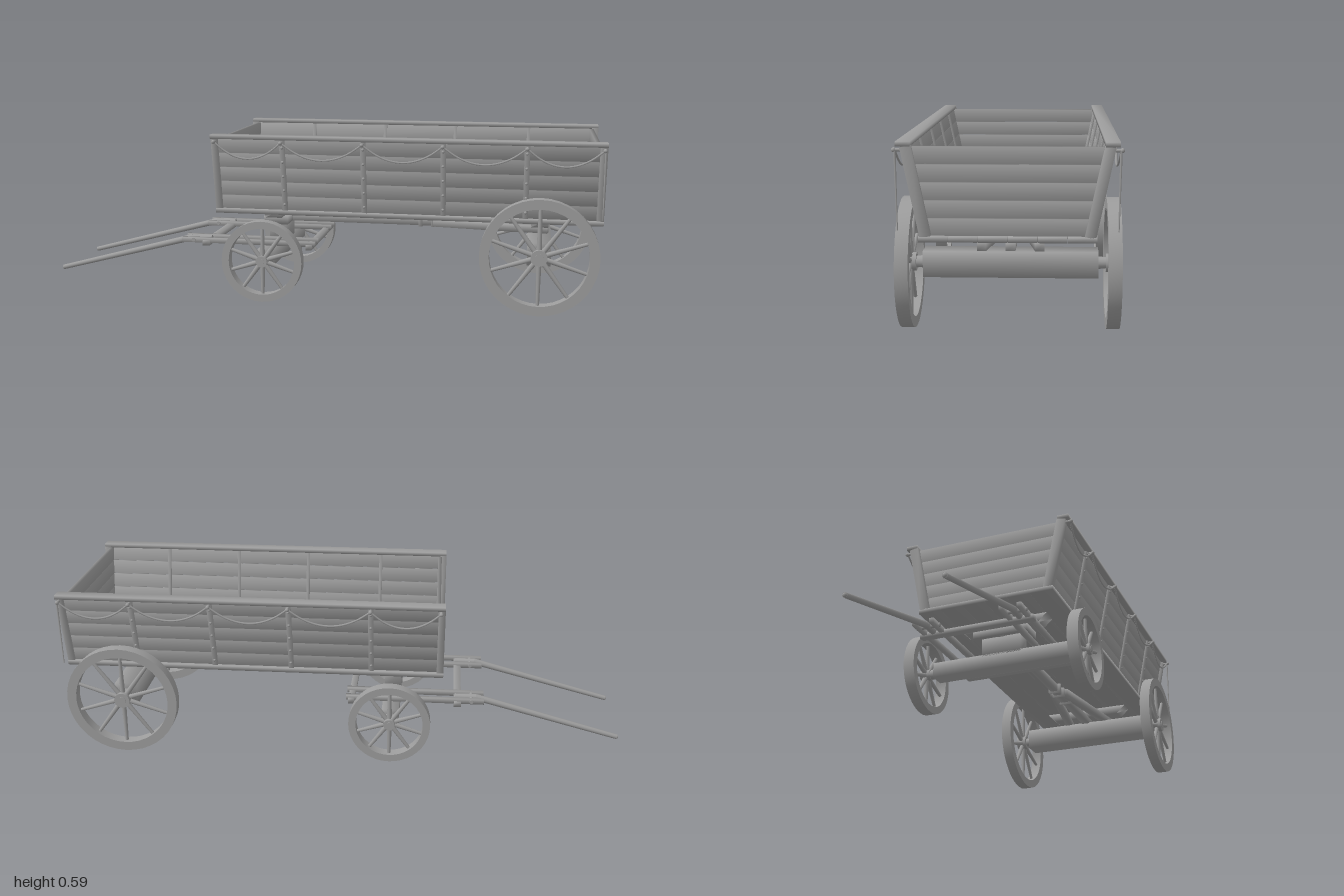
import * as THREE from 'three';
import { mergeVertices, toCreasedNormals } from 'three/addons/utils/BufferGeometryUtils.js';

const wood = new THREE.MeshStandardMaterial({ color: 0x9c9c9c });
wood.name = 'greyWood';

const V = (x, y, z) => new THREE.Vector3(x, y, z);

function add(parent, name, geo, x = 0, y = 0, z = 0) {
  const m = new THREE.Mesh(geo, wood);
  m.name = name;
  m.position.set(x, y, z);
  parent.add(m);
  return m;
}

// Box with shared corner normals, so boards look softly rounded
function softBox(w, h, d, reshape) {
  const g = new THREE.BoxGeometry(w, h, d);
  g.deleteAttribute('uv');
  g.deleteAttribute('normal');
  const p = g.attributes.position;
  if (reshape) for (let i = 0; i < p.count; i++) p.setXYZ(i, ...reshape(p.getX(i), p.getY(i), p.getZ(i)));
  const merged = mergeVertices(g);
  merged.computeVertexNormals();
  return merged;
}

function board(parent, name, w, h, d, x, y, z) {
  return add(parent, name, softBox(w, h, d), x, y, z);
}

// Straight rod between two points
function rod(parent, name, a, b, r0, r1 = r0, sides = 10) {
  const dir = b.clone().sub(a);
  const m = add(parent, name, new THREE.CylinderGeometry(r1, r0, dir.length(), sides));
  m.position.copy(a).addScaledVector(dir, 0.5);
  m.quaternion.setFromUnitVectors(V(0, 1, 0), dir.normalize());
  return m;
}

// Squared beam between two points
function beam(parent, name, a, b, h, d) {
  const dir = b.clone().sub(a);
  const m = board(parent, name, dir.length(), h, d, 0, 0, 0);
  m.position.copy(a).addScaledVector(dir, 0.5);
  m.quaternion.setFromUnitVectors(V(1, 0, 0), dir.normalize());
  return m;
}

function wheel(parent, name, radius, rim, x, side) {
  const g = new THREE.Group();
  g.name = name;
  g.position.set(x, radius, side * 0.308);
  parent.add(g);
  const t = 0.02, inner = radius - rim;
  const profile = [[inner, -t], [radius, -t], [radius, t], [inner, t], [inner, -t]];
  const ring = new THREE.LatheGeometry(profile.map(p => new THREE.Vector2(...p)), 40);
  add(g, 'rim', toCreasedNormals(ring, 0.7)).rotation.x = Math.PI / 2;
  const hubR = radius * 0.14;
  rod(g, 'hub', V(0, 0, -0.02), V(0, 0, 0.02), hubR, hubR, 20);
  rod(g, 'hubCap', V(0, 0, side * 0.015), V(0, 0, side * 0.022), hubR * 0.55, hubR * 0.55, 14);
  for (let i = 0; i < 10; i++) {
    const a = (i + 0.5) * Math.PI / 5, c = Math.cos(a), s = Math.sin(a);
    rod(g, 'spoke', V(c * hubR * 0.8, s * hubR * 0.8, 0), V(c * (inner + 0.005), s * (inner + 0.005), 0), 0.009, 0.006, 8);
  }
  rod(parent, 'spindle', V(x, radius, side * 0.25), V(x, radius, side * 0.3), 0.02, 0.017, 16);
}

export function createModel() {
  const cart = new THREE.Group();
  cart.name = 'hayCart';

  const x0 = -0.355, x1 = 1, mid = (x0 + x1) / 2, len = x1 - x0;
  const floorY = 0.318, topY = 0.577, slope = 0.208, tilt = Math.atan(slope);
  const ribs = [-0.1, 0.185, 0.46, 0.74];

  // Floor planks and the thin battens over them
  for (let i = 0; i < 6; i++) board(cart, 'floorPlank', len, 0.016, 0.084, mid, 0.311, (i - 2.5) * 0.0852);
  for (const x of ribs) board(cart, 'floorBatten', 0.012, 0.008, 0.44, x, 0.321, 0);

  // Leaning sides
  const wallH = (topY - floorY) / Math.cos(tilt), bh = wallH / 5;
  for (const s of [1, -1]) {
    const wall = new THREE.Group();
    wall.name = s > 0 ? 'leftSide' : 'rightSide';
    wall.position.set(0, floorY, s * 0.235);
    wall.rotation.x = s * tilt;
    cart.add(wall);
    for (let i = 0; i < 5; i++) board(wall, 'sidePlank', len - 0.03, bh - 0.002, 0.012, mid, bh * (i + 0.5), 0);
    for (const x of ribs) {
      board(wall, 'outerRib', 0.018, wallH, 0.01, x, wallH / 2, s * 0.01);
      board(wall, 'innerRib', 0.012, wallH, 0.008, x, wallH / 2, -s * 0.009);
      for (let i = 0; i < 5; i++) add(wall, 'bolt', new THREE.SphereGeometry(0.005, 8, 6), x, bh * (i + 0.5), s * 0.015);
    }
    for (const x of [x0 + 0.012, x1 - 0.012]) board(wall, 'cornerPost', 0.024, wallH, 0.032, x, wallH / 2, 0);
    board(cart, 'topRail', len, 0.014, 0.042, mid, 0.584, s * 0.296);

    // Rope swags on hooks, with a loose tail at the rear
    const hooks = [x0 + 0.015, ...ribs, x1 - 0.01], hy = 0.567, rz = s * 0.319;
    hooks.forEach((x, i) => {
      rod(cart, 'hook', V(x, hy, s * 0.295), V(x, hy, s * 0.325), 0.005);
      add(cart, 'hookKnob', new THREE.SphereGeometry(0.007, 10, 8), x, hy, s * 0.322);
      if (i === 0) return;
      const a = hooks[i - 1], pts = [];
      for (let k = 0; k <= 6; k++) {
        const t = k / 6, dip = 4 * t * (1 - t);
        pts.push(V(a + (x - a) * t, hy - 0.058 * dip, rz - s * 0.006 * dip));
      }
      add(cart, 'ropeSwag', new THREE.TubeGeometry(new THREE.CatmullRomCurve3(pts), 20, 0.0035, 6));
    });
    rod(cart, 'ropeTail', V(x1 - 0.008, hy, rz), V(x1 - 0.008, 0.335, s * 0.315), 0.0035, 0.002, 6);
  }

  // End boards, each widening upward
  const eh = (topY - floorY) / 5;
  for (const x of [x0 + 0.025, x1 - 0.025]) {
    for (let i = 0; i < 5; i++) {
      const cy = floorY + eh * (i + 0.5);
      const geo = softBox(0.014, eh - 0.002, 2, (px, py, pz) => [px, py, pz * (0.228 + slope * (cy + py - floorY))]);
      add(cart, 'endPlank', geo, x, cy, 0);
    }
  }

  // Running gear: bolsters, axles, centre pole and rear braces
  const rearX = 0.79, frontX = -0.17;
  for (const x of [frontX, rearX]) {
    const taper = softBox(0.06, 0.034, 0.35, (px, py, pz) => [px, py, pz * (py < 0 ? 0.8 : 1)]);
    add(cart, 'bolster', taper, x, 0.286, 0);
  }
  board(cart, 'turntable', 0.09, 0.03, 0.21, frontX, 0.253, 0);
  board(cart, 'turntableBlock', 0.06, 0.07, 0.15, frontX, 0.205, 0);
  board(cart, 'rearAxle', 0.08, 0.08, 0.53, rearX, 0.2, 0);
  board(cart, 'frontAxle', 0.06, 0.056, 0.535, frontX, 0.148, 0);
  board(cart, 'centrePole', 1.03, 0.027, 0.03, 0.305, 0.25, 0);
  for (const x of [0.36, 0.405, 0.49]) board(cart, 'poleCollar', 0.014, 0.034, 0.05, x, 0.25, 0);
  for (const s of [1, -1]) beam(cart, 'rearBrace', V(0.41, 0.25, s * 0.022), V(0.82, 0.252, s * 0.088), 0.026, 0.028);

  // Wheels
  for (const s of [1, -1]) {
    wheel(cart, 'rearWheel', 0.2, 0.033, rearX, s);
    wheel(cart, 'frontWheel', 0.145, 0.026, frontX, s);
  }

  // Draught frame and shafts
  for (const s of [1, -1]) {
    for (const z of [0.127, 0.191]) board(cart, 'frameBar', 0.5, 0.018, 0.016, -0.255, 0.186, s * z);
    rod(cart, 'shaftPin', V(-0.46, 0.187, s * 0.115), V(-0.46, 0.187, s * 0.203), 0.007);
    rod(cart, 'shaft', V(-0.995, 0.05, s * 0.162), V(-0.475, 0.188, s * 0.16), 0.009, 0.012, 10);
    rod(cart, 'shaftRoot', V(-0.48, 0.187, s * 0.16), V(-0.4, 0.187, s * 0.16), 0.012, 0.012, 10);
    add(cart, 'shaftTip', new THREE.SphereGeometry(0.009, 10, 8), -0.991, 0.051, s * 0.162);
  }
  board(cart, 'frontCrossbar', 0.026, 0.018, 0.42, -0.41, 0.178, 0);
  board(cart, 'rearCrossbar', 0.022, 0.018, 0.42, -0.025, 0.176, 0);

  return cart;
}
